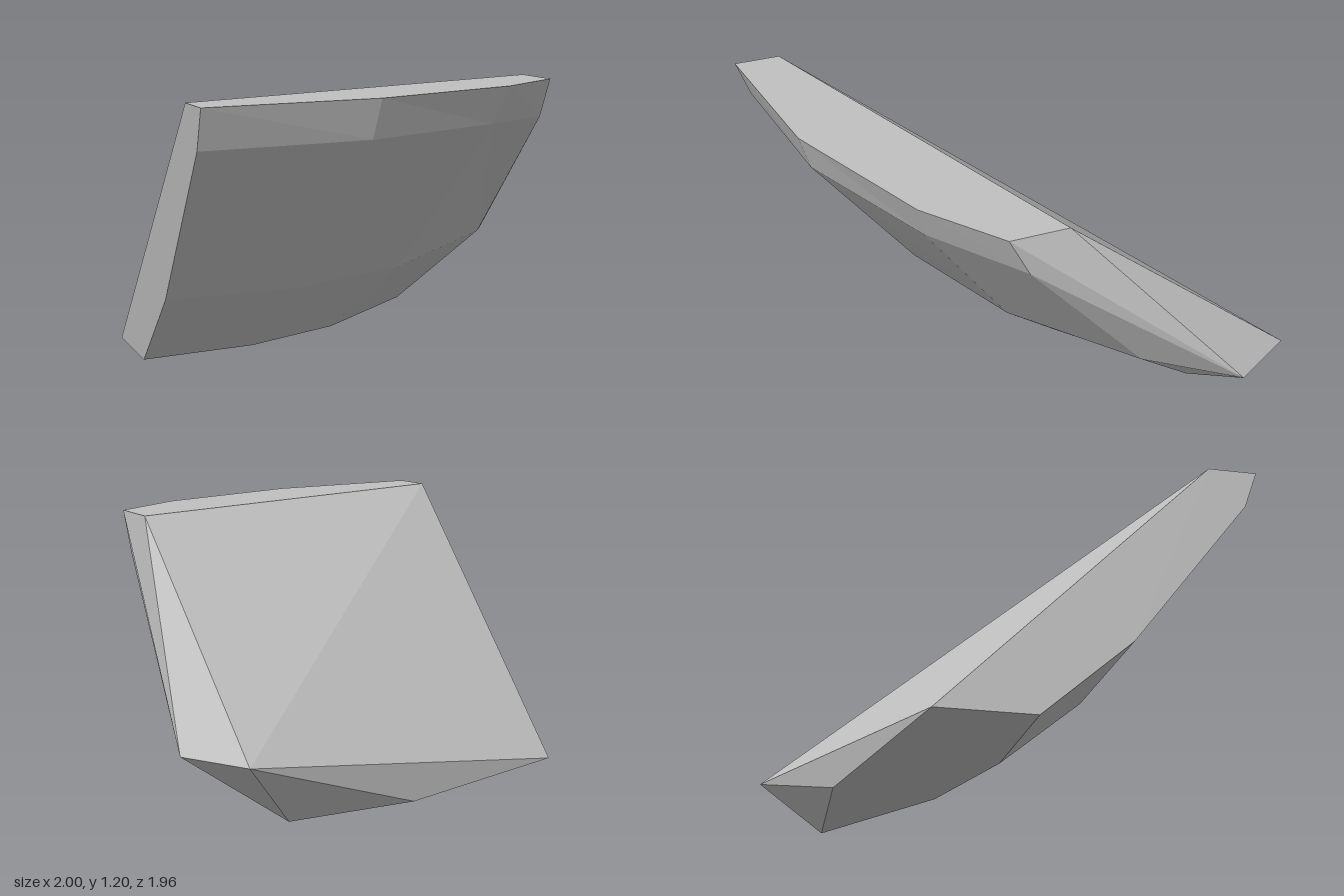
import * as THREE from 'three';

// Rows of the outer shell, from the top rim to the base, each running from -x to +x
const rim = [[-1, 1.2, 0.98], [-0.23, 1.2, 0.88], [0.49, 1.2, 0.58], [0.83, 1.2, 0.32]];
const shoulder = [[-1, 1.03, 0.92], [-0.25, 1.03, 0.83], [0.43, 1.035, 0.54], [0.83, 1.02, 0.23]];
const belly = [[-1, 0.35, 0.41], [-0.4, 0.335, 0.33], [0.19, 0.335, 0.08], [0.79, 0.4, -0.31]];
const base = [[-1, 0, 0.02], [-0.48, 0, -0.04], [-0.02, 0, -0.24], [0.52, 0, -0.69]];

// Corners of the sloping back and of the pointed end
const backTopA = [-1, 1.2, 0.77], backTopB = [0.83, 1.2, 0.06];
const backLowB = [0.83, 0.34, -0.98], backLowA = [-1, 0, -0.4];
const tip = [1, 0.34, -0.7], baseBack = [-0.08, 0, -0.69];
const centre = new THREE.Vector3(0, 0.6, 0);

// Fans each polygon into flat triangles that face away from the centre
function facets(name, polygons, material) {
  const points = [];
  for (const polygon of polygons) {
    const p = polygon.map((c) => new THREE.Vector3(...c));
    for (let i = 1; i < p.length - 1; i++) {
      const tri = new THREE.Triangle(p[0], p[i], p[i + 1]);
      const outward = tri.getNormal(new THREE.Vector3()).dot(p[0].clone().sub(centre)) > 0;
      points.push(...(outward ? [p[0], p[i], p[i + 1]] : [p[0], p[i + 1], p[i]]));
    }
  }
  const geometry = new THREE.BufferGeometry().setFromPoints(points);
  geometry.computeVertexNormals();
  const mesh = new THREE.Mesh(geometry, material);
  mesh.name = name;
  return mesh;
}

// Quads between two neighbouring rows
function strip(upper, lower) {
  return upper.slice(1).map((_, i) => [upper[i], upper[i + 1], lower[i + 1], lower[i]]);
}

export function createModel() {
  const grey = new THREE.MeshStandardMaterial({ color: 0xc0c0c0 });
  grey.name = 'plainGrey';
  const group = new THREE.Group();
  group.name = 'facetedPanel';

  // Curved outer shell
  group.add(facets('rimBand', strip(rim, shoulder), grey));
  group.add(facets('mainBand', strip(shoulder, belly).map(([a, b, c, d]) => [a, b, c, d]), grey));
  group.add(facets('lowerBand', strip(belly, base), grey));

  // Pointed end on the +x side
  group.add(facets('pointedEnd', [
    [rim[3], shoulder[3], tip], [shoulder[3], belly[3], tip], [belly[3], base[3], tip],
    [rim[3], tip, backTopB], [backTopB, tip, backLowB], [tip, base[3], backLowB],
  ], grey));

  // Flat cut end on the -x side
  group.add(facets('cutEnd', [[backTopA, rim[0], shoulder[0], belly[0], base[0], backLowA]], grey));

  // Top edge, underside and sloping back
  group.add(facets('topEdge', [[backTopA, ...rim, backTopB]], grey));
  group.add(facets('underside', [
    [backLowA, ...base, baseBack],
    [backLowB, base[3], baseBack], [backLowB, baseBack, backLowA],
  ], grey));
  group.add(facets('backFace', [[backTopA, backTopB, backLowB, backLowA]], grey));
  return group;
}
